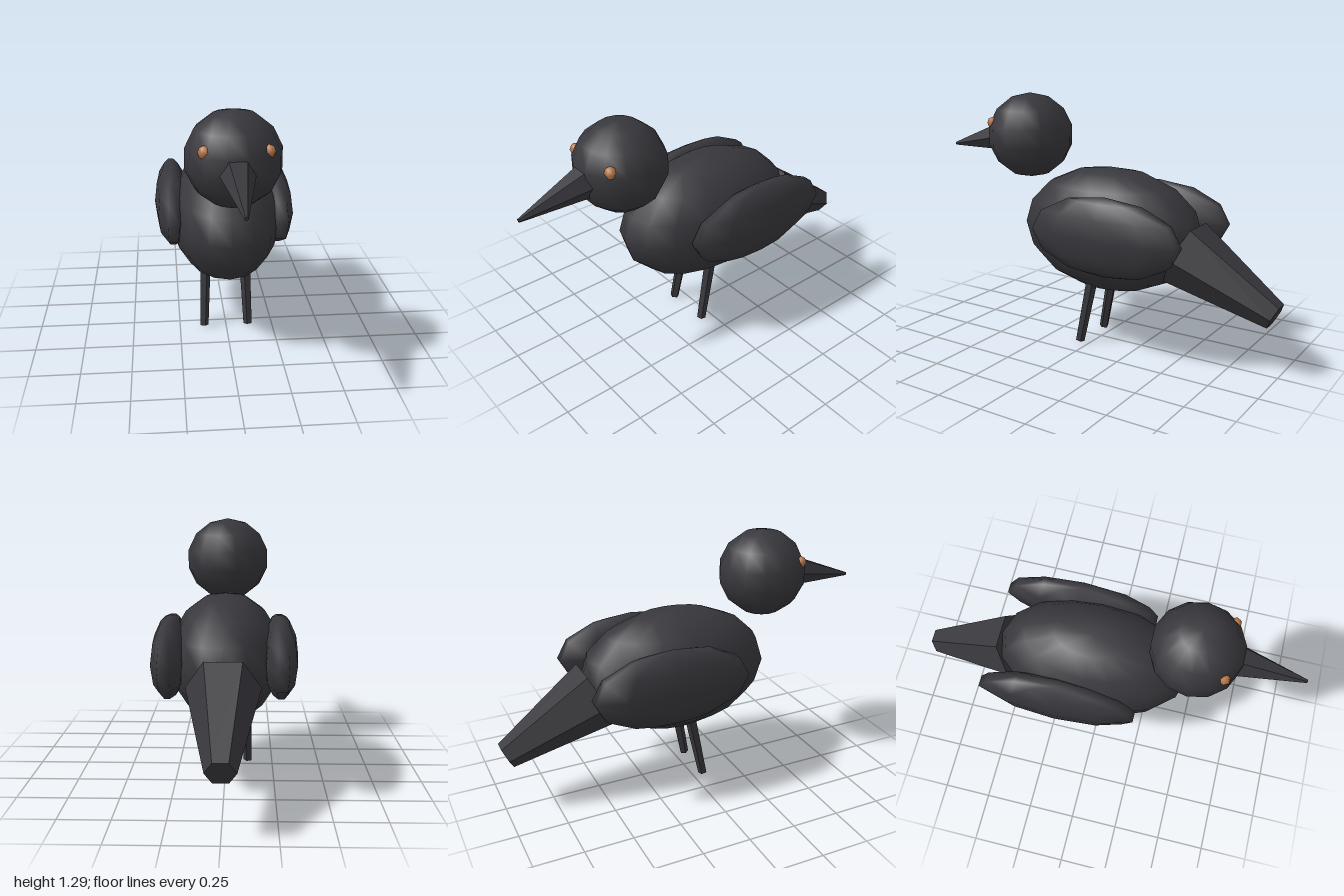
import * as THREE from 'three';

const plumage = new THREE.MeshStandardMaterial({ color: 0x38373c });
plumage.name = 'charcoal plumage';
const amber = new THREE.MeshStandardMaterial({ color: 0xb87848 });
amber.name = 'amber';

// Smooth low-poly ellipsoid
function ellipsoid(name, radii, position, across, down, material = plumage) {
  const geometry = new THREE.SphereGeometry(1, across, down);
  geometry.scale(...radii);
  const mesh = new THREE.Mesh(geometry, material);
  mesh.name = name;
  mesh.position.set(...position);
  return mesh;
}

// Faceted tapered limb running from one point to another
function limb(name, from, to, rFrom, rTo, sides, twist = 0) {
  const start = new THREE.Vector3(...from);
  const axis = new THREE.Vector3(...to).sub(start);
  const geometry = new THREE.CylinderGeometry(rTo, rFrom, axis.length(), sides).toNonIndexed();
  geometry.rotateY(twist);
  geometry.computeVertexNormals();
  const mesh = new THREE.Mesh(geometry, plumage);
  mesh.name = name;
  mesh.position.copy(start).addScaledVector(axis, 0.5);
  mesh.quaternion.setFromUnitVectors(new THREE.Vector3(0, 1, 0), axis.normalize());
  return mesh;
}

export function createModel() {
  const bird = new THREE.Group();
  bird.name = 'bird';

  // Torso and floating head
  bird.add(ellipsoid('body', [0.29, 0.325, 0.51], [0, 0.615, -0.06], 16, 8));
  bird.add(ellipsoid('head', [0.23, 0.228, 0.23], [0, 1.067, 0.455], 14, 7));

  // Hexagonal beak and tail, flat side up
  bird.add(limb('beak', [0, 1.053, 0.62], [0, 0.978, 0.998], 0.088, 0.009, 6, Math.PI / 6));
  bird.add(limb('tail', [0, 0.551, -0.489], [0, 0.31, -0.972], 0.18, 0.07, 6, Math.PI / 6));

  // Paired parts
  for (const [side, s] of [['left', 1], ['right', -1]]) {
    bird.add(ellipsoid(side + 'Wing', [0.092, 0.202, 0.432], [s * 0.275, 0.643, -0.185], 10, 6));
    bird.add(ellipsoid(side + 'Eye', [0.03, 0.032, 0.03], [s * 0.142, 1.137, 0.6], 6, 4, amber));
    bird.add(limb(side + 'Leg', [s * 0.108, 0.36, -0.01], [s * 0.12, 0.005, 0.06], 0.031, 0.024, 5));
  }
  return bird;
}
